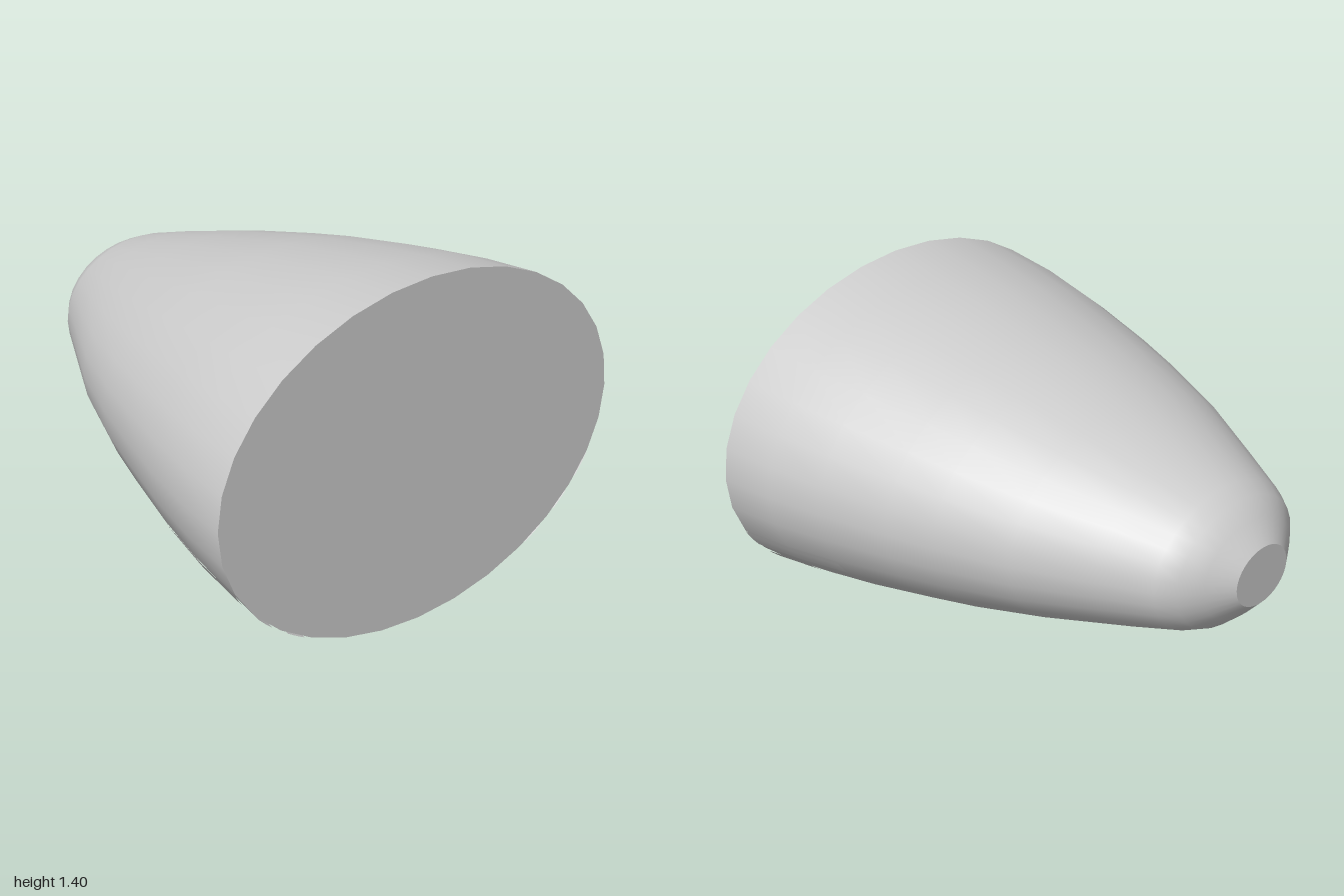
import * as THREE from 'three';
import { mergeVertices } from 'three/addons/utils/BufferGeometryUtils.js';

// Elliptical stations along the axis: z, half width, bottom y, top y
const STATIONS = [
  [1, 0.95, 0, 1.405], [0.75, 0.93, 0.05, 1.375], [0.5, 0.88, 0.095, 1.335],
  [0.2, 0.80, 0.157, 1.277], [0, 0.74, 0.2, 1.23], [-0.3, 0.63, 0.275, 1.153],
  [-0.6, 0.48, 0.355, 1.066], [-0.8, 0.38, 0.415, 1.0], [-0.87, 0.33, 0.447, 0.967],
  [-0.93, 0.25, 0.502, 0.907], [-1, 0.145, 0.58, 0.825],
];
const SIDES = 32;
const rad = THREE.MathUtils.degToRad;

// Half width, half height and centre height of the section at z
function section(z) {
  let i = 0;
  while (i < STATIONS.length - 2 && STATIONS[i + 1][0] > z) i++;
  const a = STATIONS[i], b = STATIONS[i + 1];
  const t = (a[0] - z) / (a[0] - b[0]);
  const [w, lo, hi] = [1, 2, 3].map((k) => THREE.MathUtils.lerp(a[k], b[k], t));
  return { w, h: (hi - lo) / 2, y: (hi + lo) / 2 };
}

// Skin over the sections listed in zs, between two angles, raised by lift
function skin(zs, from, to, steps, lift = 0) {
  const pos = [], index = [];
  zs.forEach((z, r) => {
    const s = section(z);
    for (let j = 0; j <= steps; j++) {
      const a = from + ((to - from) * j) / steps;
      pos.push((s.w + lift) * Math.cos(a), s.y + (s.h + lift) * Math.sin(a), z);
      if (r < zs.length - 1 && j < steps) {
        const p = r * (steps + 1) + j, q = p + steps + 1;
        index.push(p, q, p + 1, p + 1, q, q + 1);
      }
    }
  });
  let g = new THREE.BufferGeometry();
  g.setAttribute('position', new THREE.Float32BufferAttribute(pos, 3));
  g.setIndex(index);
  g = mergeVertices(g, 1e-5);
  g.computeVertexNormals();
  return g;
}

export function createModel() {
  const group = new THREE.Group();
  const material = new THREE.MeshStandardMaterial({ color: 0xcccccc });
  const thin = new THREE.MeshStandardMaterial({ color: 0xcccccc, side: THREE.DoubleSide });
  const add = (name, geometry, mat = material) => {
    const mesh = new THREE.Mesh(geometry, mat);
    mesh.name = name;
    group.add(mesh);
    return mesh;
  };

  // Tapering body with a rounded shoulder at the tip
  add('taperedBody', skin(STATIONS.map((s) => s[0]), 0, Math.PI * 2, SIDES));

  // Flat ends
  for (const [name, z] of [['frontFace', 1], ['tipFace', -1]]) {
    const s = section(z);
    const cap = add(name, new THREE.CircleGeometry(1, SIDES));
    cap.scale.set(s.w, s.h, 1);
    cap.position.set(0, s.y, z);
    if (z < 0) cap.rotation.y = Math.PI;
  }

  // Nearly flush strips on the lower flanks: angle below horizontal, z range
  const strips = [
    ['upperStrip', 23, 31, 1, 0.5],
    ['middleStrip', 36, 42, 1, 0.75],
    ['lowerStrip', 48, 54, 1, 0.75],
    ['bellyStrip', 62, 70, 0.05, -0.6],
  ];
  for (const [name, a0, a1, z0, z1] of strips) {
    const zs = [z0, ...STATIONS.map((s) => s[0]).filter((z) => z < z0 && z > z1), z1];
    add(name + 'Left', skin(zs, rad(-a1), rad(-a0), 3, 0.003), thin);
    add(name + 'Right', skin(zs, rad(180 + a0), rad(180 + a1), 3, 0.003), thin);
  }
  return group;
}
